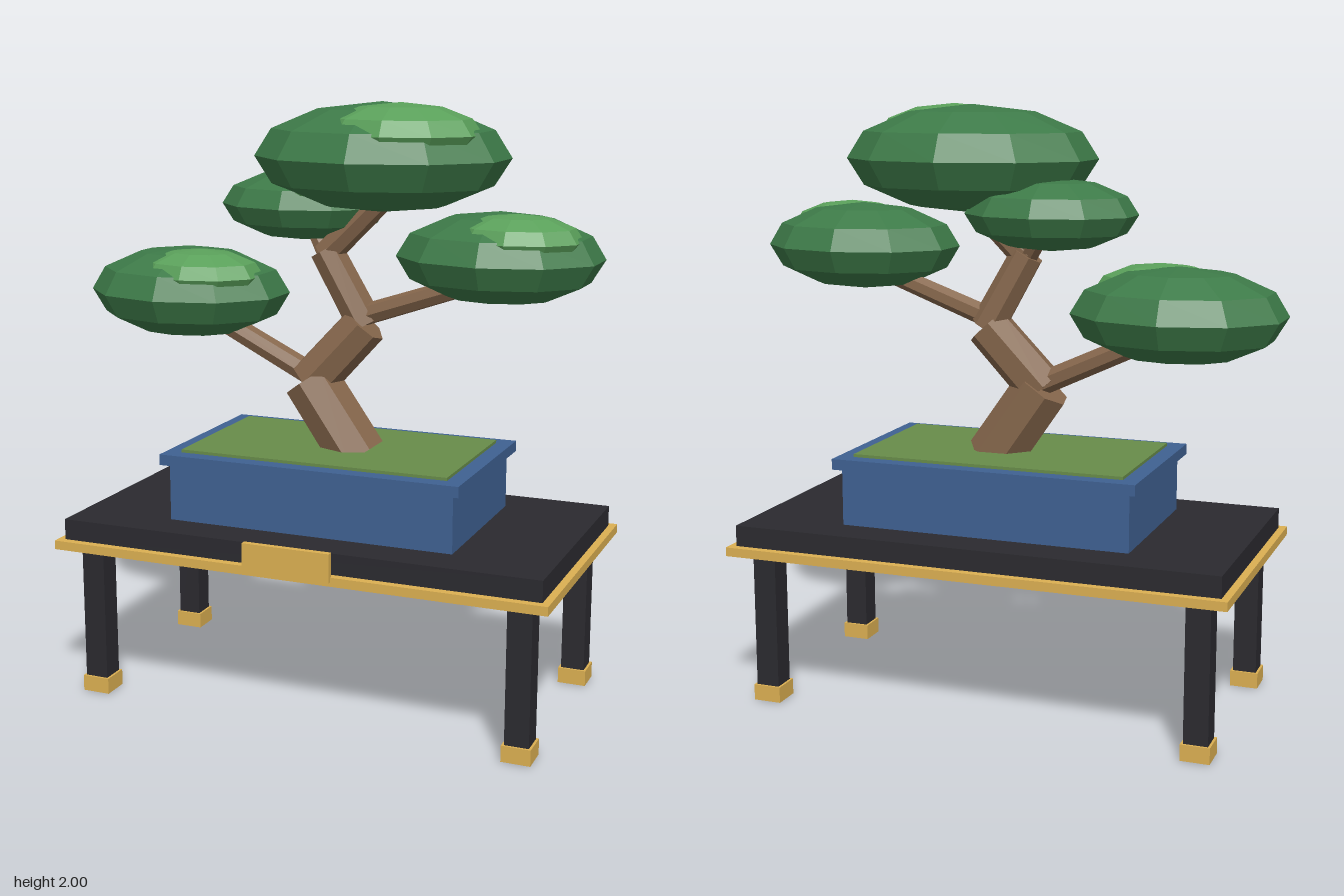
import * as THREE from 'three';

const CX = 0.02, CZ = -0.005; // shared centre of table and pot

const mat = (color) => new THREE.MeshStandardMaterial({ color, flatShading: true });

export function createModel() {
  const model = new THREE.Group();
  model.name = 'bonsaiOnTable';
  const dark = mat(0x2b2a2f), gold = mat(0xdcb052), blue = mat(0x3f6192);
  const moss = mat(0x688c4a), bark = mat(0x86674c);
  const leaf = mat(0x3d7a48), lightLeaf = mat(0x5aa05a);

  const add = (parent, name, geometry, material) => {
    const mesh = new THREE.Mesh(geometry, material);
    mesh.name = name;
    parent.add(mesh);
    return mesh;
  };
  const group = (name) => {
    const g = new THREE.Group();
    g.name = name;
    model.add(g);
    return g;
  };
  // Box around the shared centre, from height y0 to y1
  const box = (parent, name, w, y0, y1, d, material, x = 0, z = 0) => {
    const mesh = add(parent, name, new THREE.BoxGeometry(w, y1 - y0, d), material);
    mesh.position.set(CX + x, (y0 + y1) / 2, CZ + z);
    return mesh;
  };

  // Table
  const table = group('table');
  box(table, 'tableTop', 1.65, 0.55, 0.62, 0.85, dark);
  box(table, 'goldTrim', 1.7, 0.52, 0.55, 0.905, gold);
  box(table, 'frontPlaque', 0.3, 0.535, 0.63, 0.02, gold, 0, 0.455);
  for (const sx of [-1, 1]) {
    for (const sz of [-1, 1]) {
      box(table, 'leg', 0.08, 0, 0.53, 0.08, dark, sx * 0.745, sz * 0.345);
      box(table, 'footCap', 0.096, 0.002, 0.056, 0.096, gold, sx * 0.745, sz * 0.345);
    }
  }

  // Pot with rim and moss
  const pot = group('pot');
  box(pot, 'potBody', 0.99, 0.62, 0.812, 0.58, blue);
  box(pot, 'potRim', 1.04, 0.812, 0.848, 0.63, blue);
  box(pot, 'mossBed', 0.93, 0.82, 0.858, 0.525, moss);

  // Trunk and branches: straight many-sided pieces between two points
  const tree = group('trunk');
  const limb = (name, from, to, r0, r1) => {
    const a = new THREE.Vector3(...from), b = new THREE.Vector3(...to);
    const dir = b.clone().sub(a);
    const mesh = add(tree, name, new THREE.CylinderGeometry(r1, r0, dir.length(), 7), bark);
    mesh.position.copy(a).addScaledVector(dir, 0.5);
    mesh.quaternion.setFromUnitVectors(new THREE.Vector3(0, 1, 0), dir.normalize());
  };
  limb('trunkBase', [0.085, 0.825, CZ], [-0.09, 1.077, CZ], 0.097, 0.095);
  limb('trunkMiddle', [-0.085, 1.07, -0.005], [0.1, 1.275, -0.025], 0.08, 0.077);
  limb('trunkUpper', [0.1, 1.27, -0.025], [-0.035, 1.515, -0.01], 0.06, 0.056);
  limb('trunkTop', [-0.035, 1.5, -0.01], [0.17, 1.7, -0.01], 0.047, 0.043);
  limb('rightBranch', [-0.09, 1.09, -0.01], [-0.5, 1.28, -0.04], 0.04, 0.037);
  limb('leftBranch', [0.09, 1.3, -0.02], [0.5, 1.44, 0.02], 0.037, 0.033);
  limb('backBranch', [-0.03, 1.5, -0.01], [-0.12, 1.62, -0.07], 0.035, 0.03);

  // Foliage pads: ten-sided flattened balls, each with a lighter tuft on top
  const ball = new THREE.SphereGeometry(1, 10, 6).rotateY(Math.PI / 2);
  const pads = [
    ['crownPad', [0.16, 1.822, -0.01], [0.426, 0.176, 0.325]],
    ['leftPad', [0.57, 1.522, 0.02], [0.336, 0.146, 0.258]],
    ['rightPad', [-0.557, 1.343, -0.045], [0.355, 0.155, 0.275]],
    ['backPad', [-0.14, 1.653, -0.08], [0.287, 0.118, 0.215]],
  ];
  for (const [name, centre, size] of pads) {
    const pad = group(name);
    pad.position.set(...centre);
    pad.scale.set(...size);
    add(pad, 'leaves', ball, leaf);
    const tuft = add(pad, 'lightTuft', ball, lightLeaf);
    tuft.position.set(0.22, 0.45, 0.25);
    tuft.scale.set(0.62, 0.56, 0.6);
  }
  return model;
}
